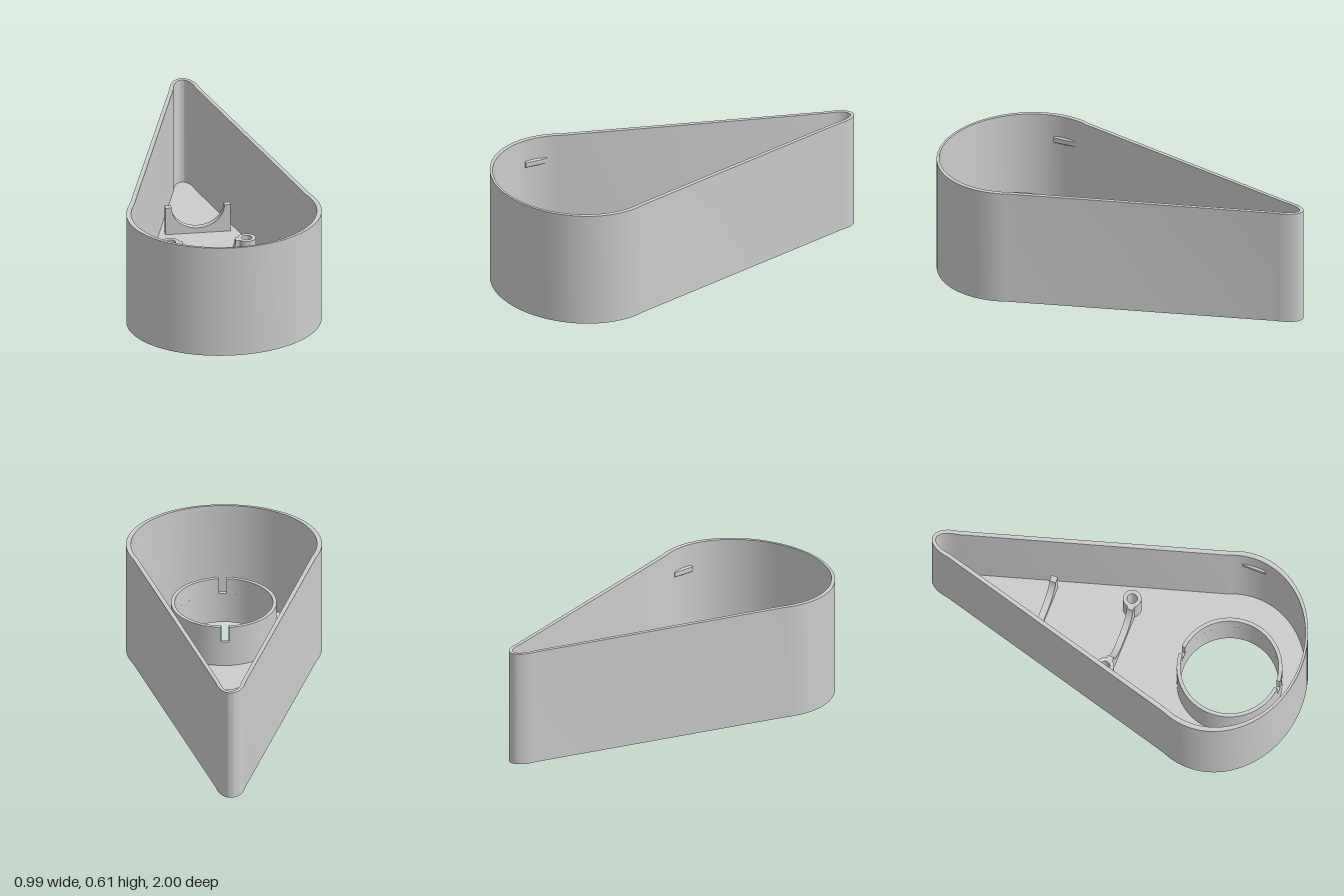
import * as THREE from 'three';
import { toCreasedNormals } from 'three/addons/utils/BufferGeometryUtils.js';

const HEIGHT = 0.605, FLOOR = 0.03, HOLE_Z = 0.614, HOLE_R = 0.249, RING_R = 0.268;
const COLLAR_TOP = 0.25, NOTCH_BOTTOM = 0.165, SUPPORT_TOP = 0.178;

export function createModel() {
  const group = new THREE.Group();
  const grey = new THREE.MeshStandardMaterial({ color: 0xcccccc });
  grey.name = 'light grey';

  const add = (name, geometry, x = 0, y = 0, z = 0) => {
    const mesh = new THREE.Mesh(geometry, grey);
    mesh.name = name;
    mesh.position.set(x, y, z);
    group.add(mesh);
  };

  const extrude = (shape, depth) => toCreasedNormals(
    new THREE.ExtrudeGeometry(shape, { depth, bevelEnabled: false, curveSegments: 48 }), 0.45);
  // Plan shapes use shape y = -z and rise upwards
  const rise = (shape, depth) => extrude(shape, depth).rotateX(-Math.PI / 2);

  // Teardrop outline, counterclockwise: broad round front, straight sides, narrow rounded tip
  const teardrop = (Type, rx, rz, tipX, tipZ) => {
    const path = new Type();
    path.absellipse(0, -0.58, rx, rz, Math.PI - 0.365, Math.PI * 2 + 0.365, false);
    path.absellipse(0, 0.85, tipX, tipZ, 0.25, Math.PI - 0.25, false);
    path.closePath();
    return path;
  };
  const circle = (Type, x, y, r) => new Type().absarc(x, y, r, 0, Math.PI * 2, false);

  // Open-topped shell
  const wall = teardrop(THREE.Shape, 0.497, 0.42, 0.078, 0.15);
  wall.holes.push(teardrop(THREE.Path, 0.472, 0.408, 0.058, 0.13));
  add('outerWall', rise(wall, HEIGHT));

  // Floor with the round opening
  const floor = teardrop(THREE.Shape, 0.485, 0.414, 0.068, 0.14);
  floor.holes.push(circle(THREE.Path, 0, -HOLE_Z, HOLE_R));
  add('floor', rise(floor, FLOOR));

  // Collar around the opening, notched at front and back
  const collar = circle(THREE.Shape, 0, 0, RING_R);
  collar.holes.push(circle(THREE.Path, 0, 0, HOLE_R));
  add('collar', rise(collar, NOTCH_BOTTOM), 0, 0, HOLE_Z);
  for (const side of [0, Math.PI]) {
    const start = side - Math.PI / 2 + 0.075, end = side + Math.PI / 2 - 0.075;
    const half = new THREE.Shape();
    half.absarc(0, 0, RING_R, start, end, false);
    half.absarc(0, 0, HOLE_R, end, start, true);
    half.closePath();
    add('collarRim', rise(half, COLLAR_TOP - NOTCH_BOTTOM), 0, NOTCH_BOTTOM, HOLE_Z);
  }

  // Upright supports with a hollow curved top
  const saddle = (name, halfWidth, z) => {
    const shape = new THREE.Shape();
    shape.moveTo(-halfWidth, FLOOR - 0.005);
    shape.lineTo(halfWidth, FLOOR - 0.005);
    shape.lineTo(halfWidth, SUPPORT_TOP);
    shape.lineTo(0.135, SUPPORT_TOP);
    shape.absellipse(0, SUPPORT_TOP, 0.135, 0.12, 0, -Math.PI, true);
    shape.lineTo(-halfWidth, SUPPORT_TOP);
    shape.closePath();
    add(name, extrude(shape, 0.034), 0, 0, z);
  };
  saddle('rearSaddle', 0.167, -0.416);
  saddle('frontSaddle', 0.16, 0.004);

  for (const side of [-1, 1]) {
    // Screw posts beside the front saddle
    const post = circle(THREE.Shape, 0, 0, 0.047);
    post.holes.push(circle(THREE.Path, 0, 0, 0.026));
    add('screwPost', rise(post, SUPPORT_TOP - FLOOR + 0.005), side * 0.195, FLOOR - 0.005, 0.011);

    // Bevelled snap ridges on the inner wall
    const ridge = new THREE.Shape([[0.48, 0.445], [0.48, 0.495], [0.461, 0.482], [0.461, 0.458]]
      .map(([x, y]) => new THREE.Vector2(side * x, y)));
    add('snapRidge', extrude(ridge, 0.122), 0, 0, 0.508);
  }
  return group;
}
